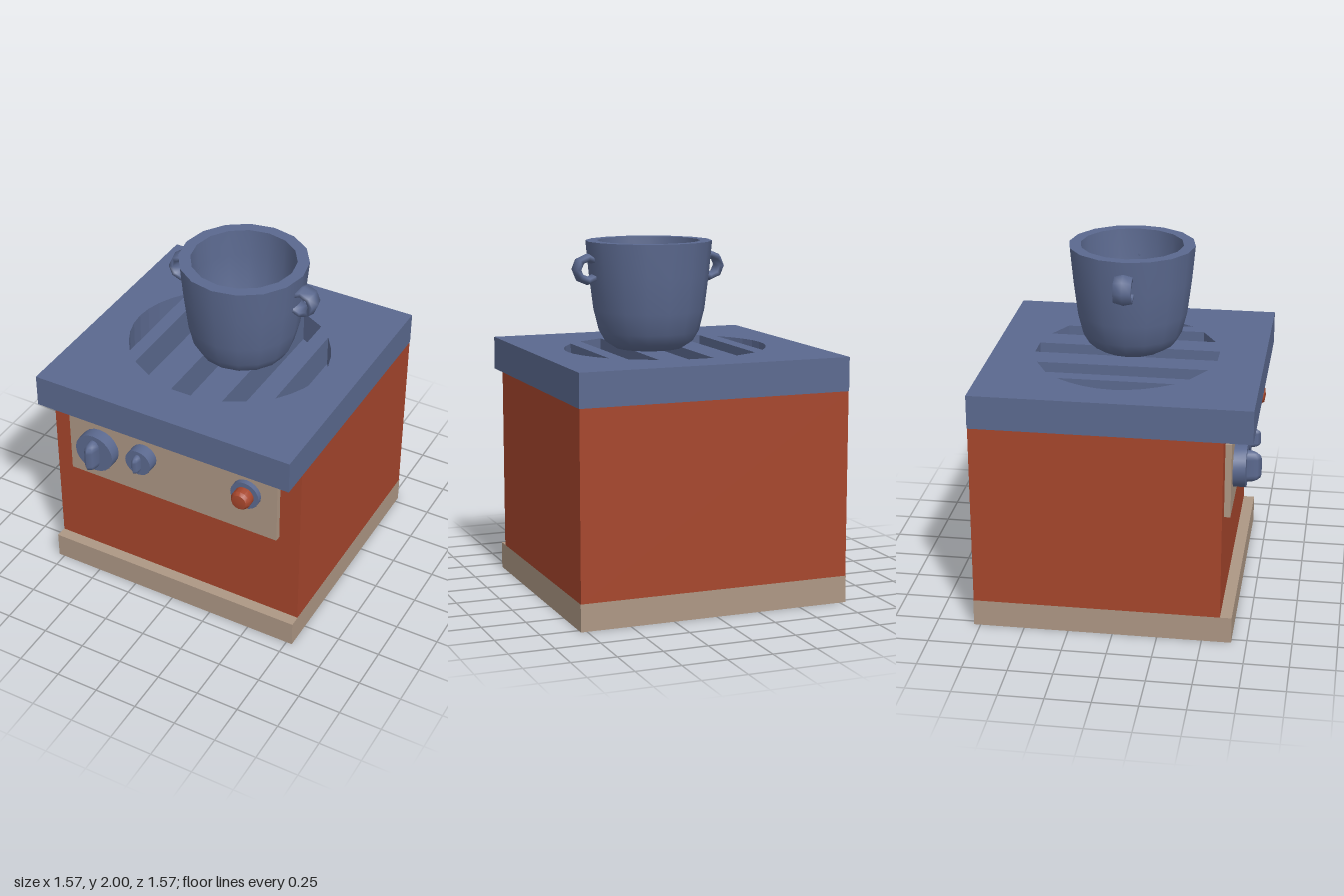
import * as THREE from 'three';
import { toCreasedNormals } from 'three/addons/utils/BufferGeometryUtils.js';

const material = (name, color, side = THREE.DoubleSide) => {
  const m = new THREE.MeshStandardMaterial({ color, side });
  m.name = name;
  return m;
};

export function createModel() {
  const blue = material('slate blue', 0x5b698f);
  const red = material('rust red', 0xa6462c);
  const beige = material('warm beige', 0xad9784);
  const model = new THREE.Group();

  const add = (name, geometry, mat, x = 0, y = 0, z = 0, parent = model) => {
    const mesh = new THREE.Mesh(geometry, mat);
    mesh.name = name;
    mesh.position.set(x, y, z);
    parent.add(mesh);
    return mesh;
  };

  // Hollow box between two corners; faces listed in "drop" are left out
  // (0 +x, 1 -x, 2 +y, 3 -y, 4 +z, 5 -z)
  const shell = (name, mat, [x0, y0, z0], [x1, y1, z1], drop) => {
    const g = new THREE.BoxGeometry(x1 - x0, y1 - y0, z1 - z0);
    const index = Array.from(g.index.array);
    g.setIndex(index.filter((_, i) => !drop.includes(Math.floor(i / 6))));
    g.clearGroups();
    return add(name, g, mat, (x0 + x1) / 2, (y0 + y1) / 2, (z0 + z1) / 2);
  };

  // Cabinet and plinth, both open underneath
  shell('cabinet', red, [-0.783, 0.15, -0.785], [0.783, 1.2, 0.6], [2, 3]);
  shell('plinth', beige, [-0.785, 0, -0.787], [0.785, 0.153, 0.665], [2, 3]);
  const ledge = new THREE.PlaneGeometry(1.57, 0.065).rotateX(-Math.PI / 2);
  add('plinthLedge', ledge, beige, 0, 0.153, 0.6325);

  // Hob top with grate slots; corners given as [x, z]
  const slots = [
    [[-0.077, -0.545], [0.072, -0.545], [0.072, 0.495], [-0.077, 0.495]],
    [[-0.378, -0.43], [-0.233, -0.505], [-0.227, 0.457], [-0.38, 0.37]],
    [[0.23, -0.505], [0.377, -0.43], [0.377, 0.37], [0.22, 0.457]],
  ];
  for (const s of [-1, 1]) {
    const arc = [];
    for (let i = 0; i <= 8; i++) {
      const a = -0.6 + i * 0.15;
      arc.push([s * (0.588 - 0.128 * (a / 0.6) ** 2), -0.027 + 0.325 * (a / 0.6)]);
    }
    slots.push(arc);
  }
  const outline = new THREE.Shape([[-0.785, -0.757], [0.785, -0.757], [0.785, 0.787], [-0.785, 0.787]]
    .map(([x, y]) => new THREE.Vector2(x, y)));
  for (const slot of slots) {
    outline.holes.push(new THREE.Path(slot.map(([x, z]) => new THREE.Vector2(x, -z))));
  }
  const top = new THREE.ExtrudeGeometry(outline, { depth: 0.19, bevelEnabled: false });
  add('hobTop', top.rotateX(-Math.PI / 2), blue, 0, 1.2, 0);
  const floor = new THREE.PlaneGeometry(1.3, 1.2).rotateX(-Math.PI / 2);
  add('slotFloor', floor, blue, 0, 1.205, -0.02);

  // Control panel, open at the back
  shell('controlPanel', beige, [-0.665, 0.71, 0.53], [0.657, 1.14, 0.635], [5]);

  // Turned part pointing forward, profile as [radius, z]
  const turned = (name, profile, mat, x, y, sides = 20) => {
    const g = new THREE.LatheGeometry(profile.map(([r, z]) => new THREE.Vector2(r, z)), sides);
    g.rotateX(Math.PI / 2);
    return add(name, toCreasedNormals(g, 0.7), mat, x, y, 0);
  };
  // Rounded finger grip
  const grip = (name, x, y, z, w, h, d) => {
    const g = new THREE.CapsuleGeometry(0.5, 1, 4, 8);
    g.scale(w, h / 2, d);
    add(name, g, blue, x, y, z);
  };
  turned('largeKnob', [[0.12, 0.585], [0.12, 0.705], [0, 0.705]], blue, -0.465, 0.935);
  grip('largeKnobGrip', -0.465, 0.933, 0.71, 0.073, 0.185, 0.15);
  turned('smallKnob', [[0.08, 0.61], [0.08, 0.705], [0, 0.705]], blue, -0.178, 0.978);
  grip('smallKnobGrip', -0.178, 0.978, 0.7, 0.046, 0.115, 0.115);
  turned('buttonCollar', [[0.087, 0.61], [0.087, 0.665], [0, 0.665]], blue, 0.472, 0.98);
  turned('button', [[0.058, 0.66], [0.058, 0.71], [0.045, 0.73], [0, 0.738]], red, 0.472, 0.98, 14);

  // Cooking pot
  const pot = new THREE.Group();
  pot.name = 'pot';
  pot.position.set(0.096, 0, -0.013);
  model.add(pot);
  const profile = [
    [0, 1.392], [0.19, 1.392], [0.25, 1.43], [0.285, 1.49], [0.315, 1.61], [0.34, 1.81], [0.358, 2],
    [0.292, 2], [0.283, 1.85], [0.262, 1.63], [0.225, 1.52], [0.16, 1.46], [0, 1.44],
  ].map(([r, y]) => new THREE.Vector2(r, y));
  add('potBody', toCreasedNormals(new THREE.LatheGeometry(profile, 16), 0.8), blue, 0, 0, 0, pot);
  for (const s of [-1, 1]) {
    const ring = new THREE.TorusGeometry(0.064, 0.025, 6, 8);
    ring.scale(1, 1, 2.3);
    add(s > 0 ? 'leftHandle' : 'rightHandle', ring, blue, s * 0.367, 1.847, 0.003, pot);
  }
  return model;
}
